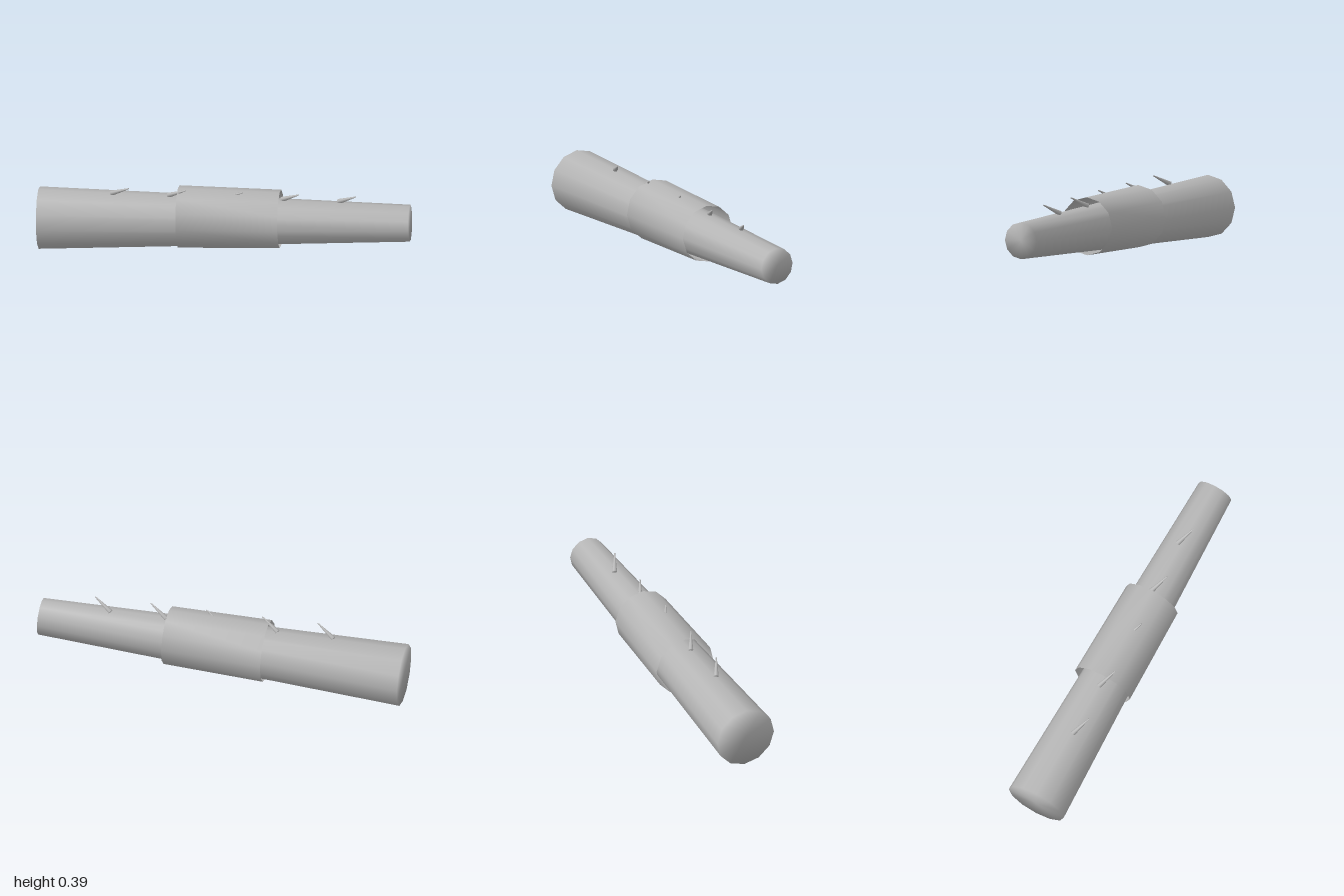
import * as THREE from 'three';
import { mergeVertices } from 'three/addons/utils/BufferGeometryUtils.js';

const V = (x, y, z) => new THREE.Vector3(x, y, z);

// Tapered tube between two points; capped tubes share normals across the rim
function taper(name, a, b, rA, rB, sides, open, material) {
  const dir = b.clone().sub(a);
  let geo = new THREE.CylinderGeometry(rB, rA, dir.length(), sides, 1, open);
  geo.deleteAttribute('uv');
  geo.deleteAttribute('normal');
  geo = mergeVertices(geo);
  geo.computeVertexNormals();
  const mesh = new THREE.Mesh(geo, material);
  mesh.name = name;
  mesh.position.copy(a).add(b).multiplyScalar(0.5);
  mesh.quaternion.setFromUnitVectors(V(0, 1, 0), dir.normalize());
  return mesh;
}

export function createModel() {
  const group = new THREE.Group();
  group.name = 'thornyStem';
  const grey = new THREE.MeshStandardMaterial({ color: 0xb4b4b4, side: THREE.DoubleSide });
  grey.name = 'grey';

  // Long tapering stem
  group.add(taper('stem', V(-0.994, 0.167, -0.011), V(0.996, 0.235, 0.033), 0.167, 0.099, 12, false, grey));

  // Loose open sleeve around the middle
  group.add(taper('sleeve', V(-0.246, 0.209, 0), V(0.3, 0.224, 0.015), 0.167, 0.156, 12, true, grey));

  // Row of slanted thorns along the top
  for (let i = 0; i < 5; i++) {
    const x = -0.605 + i * 0.304;
    group.add(taper('thorn' + (i + 1), V(x, 0.335, 0.007), V(x + 0.095, 0.388, 0.055), 0.014, 0.003, 8, false, grey));
  }
  return group;
}
